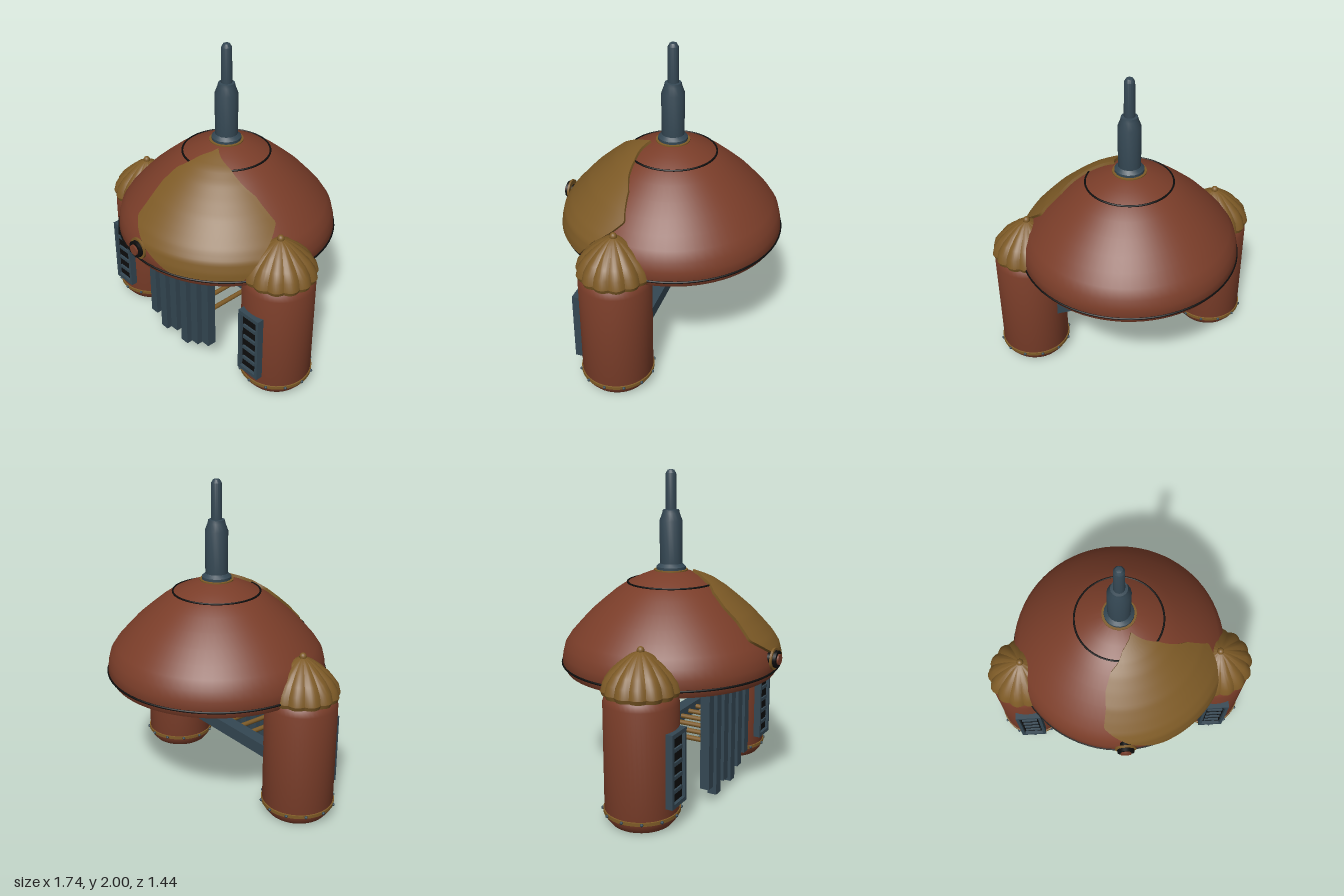
import * as THREE from 'three';
import { toCreasedNormals } from 'three/addons/utils/BufferGeometryUtils.js';

const mat = (name, color) => {
  const m = new THREE.MeshStandardMaterial({ color });
  m.name = name;
  return m;
};
const copper = mat('copper', 0x7a3d29);
const gold = mat('old gold', 0x7d5a26);
const slate = mat('slate', 0x344753);
const black = mat('black', 0x0d0d0d);

const DOME_Z = -0.025;
// Dome outline as [radius, height], from the rim upwards
const DOME = [[0.665, 0.765], [0.688, 0.81], [0.683, 0.87], [0.668, 0.93], [0.632, 0.985], [0.575, 1.05],
  [0.51, 1.12], [0.43, 1.19], [0.35, 1.256], [0.27, 1.31], [0.19, 1.347], [0.1, 1.383]];

// Piecewise linear lookup in a table of [value, key]
function lookup(table, key) {
  for (let i = 1; i < table.length; i++) {
    const [v0, k0] = table[i - 1], [v1, k1] = table[i];
    if ((key - k0) * (key - k1) <= 0) return v0 + (v1 - v0) * (key - k0) / (k1 - k0);
  }
  return table[table.length - 1][0];
}

function add(parent, name, geo, material, x = 0, y = 0, z = 0) {
  const m = new THREE.Mesh(geo, material);
  m.name = name;
  m.position.set(x, y, z);
  parent.add(m);
  return m;
}

const box = (w, h, d) => new THREE.BoxGeometry(w, h, d);
const rawLathe = (pts, sides) => new THREE.LatheGeometry(pts.map(p => new THREE.Vector2(...p)), sides);
const lathe = (pts, sides = 48) => toCreasedNormals(rawLathe(pts, sides), 0.6);
const ring = (r, tube) => new THREE.TorusGeometry(r, tube, 8, 72).rotateX(Math.PI / 2);

// Raised plate that follows the dome between two wandering side edges
function patchGeometry() {
  const left = [[27, 1.37], [3, 1.34], [-12, 1.27], [-14, 1.2], [-12, 1.12], [-12, 1.02], [-2, 0.95], [6, 0.9], [17, 0.84], [20, 0.83]];
  const right = [[28, 1.37], [53, 1.31], [71, 1.2], [78.5, 1.08], [72, 1.01], [65, 0.95], [56, 0.83]];
  const rows = 44, cols = 24, pos = [], index = [];
  for (let i = -1; i <= rows + 1; i++) {
    for (let j = -1; j <= cols + 1; j++) {
      const ci = Math.min(Math.max(i, 0), rows), cj = Math.min(Math.max(j, 0), cols);
      const off = ci === i && cj === j ? 0.018 : -0.012;
      const y = 1.37 - 0.54 * ci / rows;
      const a = lookup(left, y), b = lookup(right, y);
      const th = THREE.MathUtils.degToRad(a + (b - a) * cj / cols);
      const slope = (lookup(DOME, y - 0.012) - lookup(DOME, y + 0.012)) / 0.024;
      const n = Math.hypot(1, slope);
      const r = lookup(DOME, y) + off / n;
      pos.push(r * Math.sin(th), y + off * slope / n, r * Math.cos(th));
    }
  }
  const w = cols + 3;
  for (let i = 0; i < rows + 2; i++) {
    for (let j = 0; j < cols + 2; j++) {
      const a = i * w + j;
      index.push(a, a + w, a + w + 1, a, a + w + 1, a + 1);
    }
  }
  const g = new THREE.BufferGeometry();
  g.setAttribute('position', new THREE.Float32BufferAttribute(pos, 3));
  g.setIndex(index);
  return toCreasedNormals(g, 0.7);
}

// Umbrella-like cap with creased lobes
function capGeometry() {
  const g = rawLathe([[0, 0.785], [0.222, 0.785], [0.232, 0.81], [0.217, 0.865], [0.18, 0.915],
    [0.125, 0.965], [0.065, 1.01], [0.02, 1.03], [0, 1.035]], 112);
  const p = g.attributes.position;
  for (let i = 0; i < p.count; i++) {
    const th = Math.atan2(p.getX(i), p.getZ(i));
    const s = 1 - 0.07 * (1 - Math.abs(Math.sin(7 * th)));
    p.setX(i, p.getX(i) * s);
    p.setZ(i, p.getZ(i) * s);
  }
  return toCreasedNormals(g, 0.5);
}

function buildDome() {
  const dome = new THREE.Group();
  dome.name = 'dome';
  dome.position.z = DOME_Z;
  add(dome, 'domeShell', lathe([[0, 0.765], ...DOME, [0, 1.39]], 72), copper);
  add(dome, 'rimSeam', ring(0.688, 0.007), black, 0, 0.81);
  add(dome, 'upperSeam', ring(0.271, 0.006), black, 0, 1.311);
  add(dome, 'patch', patchGeometry(), gold);

  // Spire on its collar
  add(dome, 'spireCollar', lathe([[0, 1.365], [0.105, 1.365], [0.105, 1.388], [0, 1.395]]), gold);
  add(dome, 'spire', lathe([[0, 1.38], [0.092, 1.38], [0.092, 1.405], [0.07, 1.425], [0.071, 1.69], [0.054, 1.735],
    [0.05, 1.755], [0.034, 1.757], [0.032, 1.975], [0.02, 1.995], [0, 2]], 16), slate);
  return dome;
}

function buildTower(side) {
  const t = new THREE.Group();
  t.name = side > 0 ? 'leftTower' : 'rightTower';
  t.position.set(side * 0.628, 0, 0.125);
  add(t, 'towerBody', lathe([[0, 0], [0.165, 0], [0.185, 0.008], [0.21, 0.04], [0.221, 0.075],
    [0.221, 0.74], [0.21, 0.775], [0.19, 0.8], [0, 0.8]]), copper);
  add(t, 'towerBand', lathe([[0.218, 0.068], [0.228, 0.07], [0.228, 0.09], [0.218, 0.092]]), gold);
  for (let i = 0; i < 12; i++) {
    const a = (i + 0.0) * Math.PI / 6;
    add(t, 'rivet', new THREE.SphereGeometry(0.01, 8, 6), slate, 0.23 * Math.sin(a), 0.08, 0.23 * Math.cos(a));
  }
  add(t, 'cap', capGeometry(), gold);
  add(t, 'finial', new THREE.SphereGeometry(0.022, 16, 12), gold, 0, 1.035).scale.y = 1.1;

  // Louvred window
  const win = new THREE.Group();
  win.name = 'window';
  win.position.set(0, 0.375, 0.215);
  t.add(win);
  add(win, 'windowBacking', box(0.14, 0.42, 0.04), black, 0, 0, -0.005);
  for (const s of [-1, 1]) {
    add(win, 'frameSide', box(0.02, 0.45, 0.07), slate, s * 0.073, 0, 0);
    add(win, 'frameEnd', box(0.166, 0.026, 0.07), slate, 0, s * 0.212, 0);
  }
  for (let i = 0; i < 4; i++) add(win, 'slat', box(0.1, 0.022, 0.025), slate, 0, 0.118 - i * 0.083, 0.014);
  return t;
}

function buildGrille() {
  const g = new THREE.Group();
  g.name = 'grille';
  add(g, 'crossbar', box(1.06, 0.08, 0.08), slate, 0, 0.41, -0.015);
  const bottoms = [0.105, 0.032, 0.083, 0.04, 0.1, 0.155];
  bottoms.forEach((b, i) => {
    const x = -0.262 + i * 0.105;
    add(g, 'hangingBar', box(0.06, 0.78 - b, 0.06), slate, x, (0.78 + b) / 2, 0.365);
    add(g, 'tieRod', new THREE.CylinderGeometry(0.015, 0.015, 0.36, 12).rotateX(Math.PI / 2), gold, x, 0.41, 0.17);
  });
  return g;
}

function buildLens() {
  const g = new THREE.Group();
  g.name = 'lens';
  const disc = (name, r, z0, z1, m) =>
    add(g, name, new THREE.CylinderGeometry(r, r, z1 - z0, 32).rotateX(Math.PI / 2), m, 0, 0.902, (z0 + z1) / 2);
  disc('lensStem', 0.035, 0.62, 0.675, black);
  disc('lensPlate', 0.067, 0.672, 0.685, gold);
  disc('lensRing', 0.053, 0.685, 0.705, black);
  disc('lensCore', 0.033, 0.7, 0.716, copper);
  return g;
}

export function createModel() {
  const model = new THREE.Group();
  model.name = 'domedGatehouse';
  model.add(buildDome(), buildTower(1), buildTower(-1), buildGrille(), buildLens());
  return model;
}
